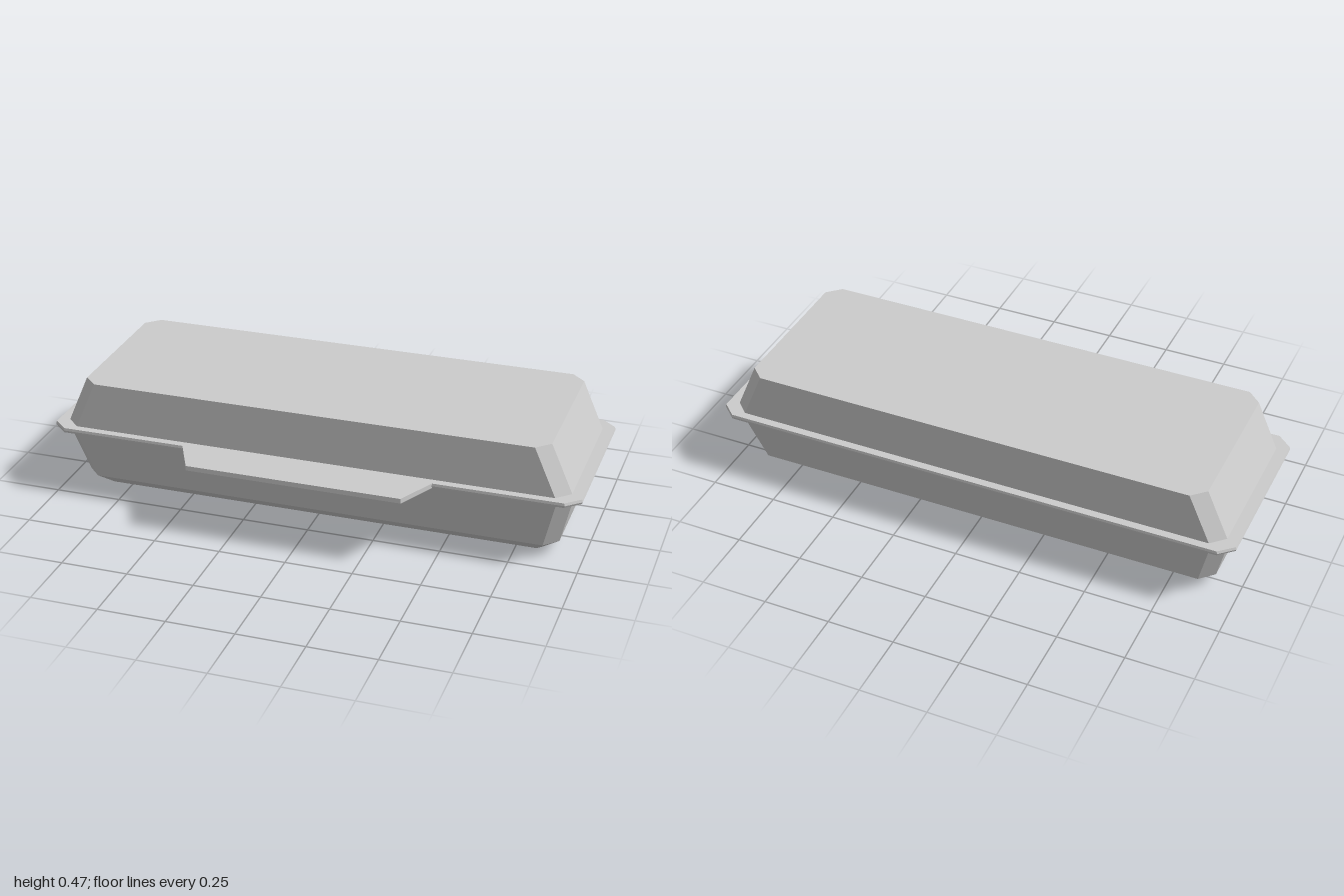
import * as THREE from 'three';

const MID_Z = -0.0725; // box body sits behind the front tab
const material = new THREE.MeshStandardMaterial({ color: 0xcccccc, flatShading: true });

// Rectangle with cut corners, counter-clockwise seen from above
function ring({ y, hx, hz, cx, cz }) {
  const corners = [
    [hx, hz - cz], [hx, cz - hz], [hx - cx, -hz], [cx - hx, -hz],
    [-hx, cz - hz], [-hx, hz - cz], [cx - hx, hz], [hx - cx, hz],
  ];
  return corners.map(([x, z]) => [x, y, z + MID_Z]);
}

// Closed solid skinned through rings listed from bottom to top
function loft(name, sections) {
  const rings = sections.map(ring);
  const n = rings[0].length;
  const pos = [];
  const tri = (a, b, c) => pos.push(...a, ...b, ...c);
  for (let k = 0; k < rings.length - 1; k++) {
    const lo = rings[k], hi = rings[k + 1];
    for (let i = 0; i < n; i++) {
      const j = (i + 1) % n;
      tri(lo[i], lo[j], hi[j]);
      tri(lo[i], hi[j], hi[i]);
    }
  }
  const bottom = rings[0], top = rings[rings.length - 1];
  for (let i = 1; i < n - 1; i++) {
    tri(top[0], top[i], top[i + 1]);
    tri(bottom[0], bottom[i + 1], bottom[i]);
  }
  const geometry = new THREE.BufferGeometry();
  geometry.setAttribute('position', new THREE.Float32BufferAttribute(pos, 3));
  geometry.computeVertexNormals();
  const mesh = new THREE.Mesh(geometry, material);
  mesh.name = name;
  return mesh;
}

export function createModel() {
  const model = new THREE.Group();
  model.name = 'hingedFoodBox';

  // Tapered tray with a bevelled foot
  model.add(loft('tray', [
    { y: 0, hx: 0.845, hz: 0.192, cx: 0.02, cz: 0.02 },
    { y: 0.055, hx: 0.91, hz: 0.262, cx: 0.05, cz: 0.05 },
    { y: 0.265, hx: 0.963, hz: 0.32, cx: 0.05, cz: 0.05 },
  ]));

  // Thin rim where tray and lid meet
  model.add(loft('rim', [
    { y: 0.264, hx: 0.997, hz: 0.348, cx: 0.053, cz: 0.048 },
    { y: 0.272, hx: 1, hz: 0.35, cx: 0.053, cz: 0.048 },
    { y: 0.282, hx: 0.997, hz: 0.349, cx: 0.053, cz: 0.048 },
  ]));

  // Lid: upright front and back, sloping ends
  model.add(loft('lid', [
    { y: 0.28, hx: 0.957, hz: 0.32, cx: 0.05, cz: 0.048 },
    { y: 0.465, hx: 0.876, hz: 0.32, cx: 0.05, cz: 0.048 },
  ]));

  // Front opening tab, narrowing outwards
  const outline = new THREE.Shape([
    [-0.475, -0.27], [-0.4, -0.4225], [0.4, -0.4225], [0.475, -0.27],
  ].map(([x, y]) => new THREE.Vector2(x, y)));
  const tabGeometry = new THREE.ExtrudeGeometry(outline, { depth: 0.018, bevelEnabled: false });
  tabGeometry.rotateX(-Math.PI / 2);
  const tab = new THREE.Mesh(tabGeometry, material);
  tab.name = 'openingTab';
  tab.position.y = 0.2645;
  model.add(tab);

  return model;
}
